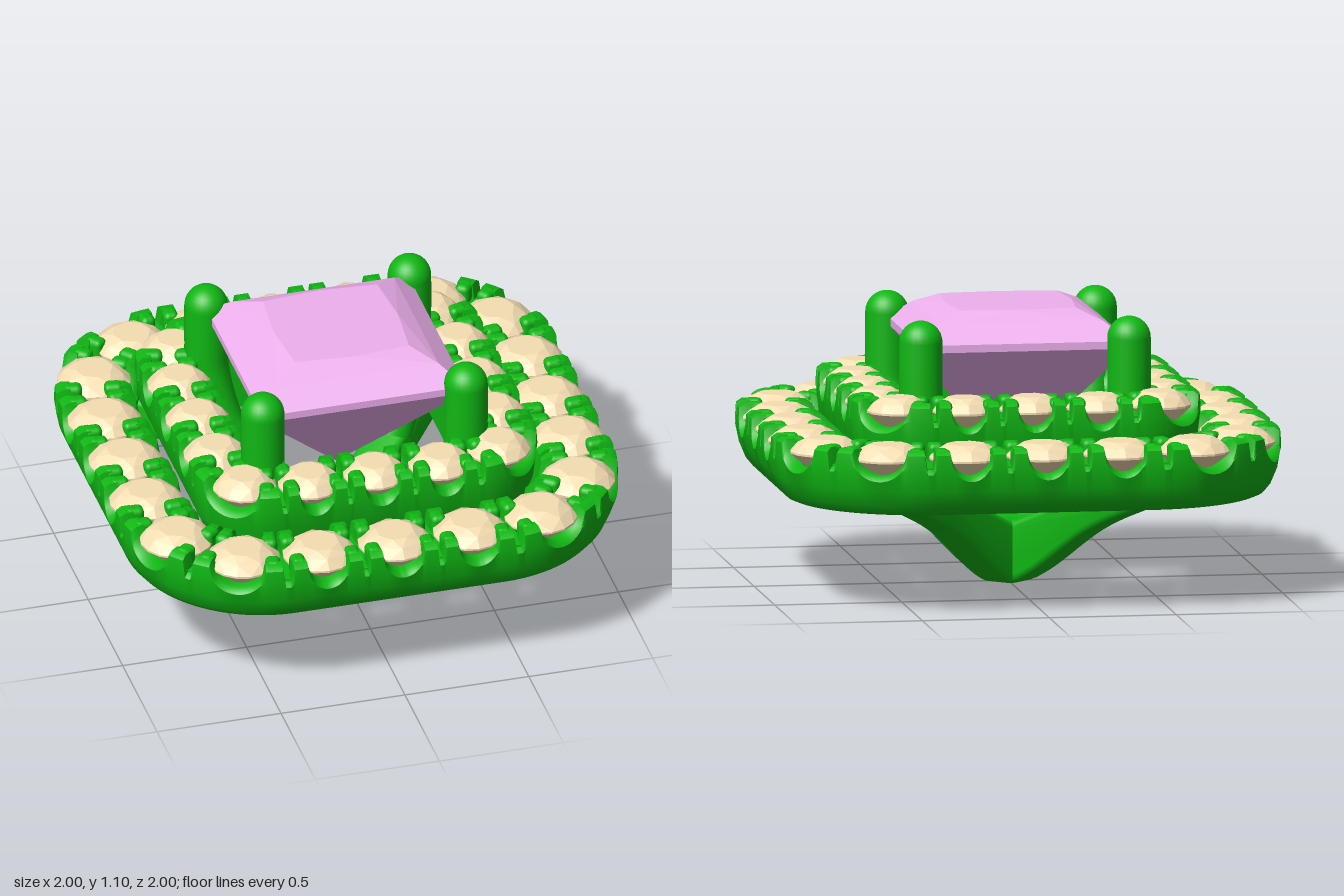
import * as THREE from 'three';
import { toCreasedNormals } from 'three/addons/utils/BufferGeometryUtils.js';
import { RoundedBoxGeometry } from 'three/addons/geometries/RoundedBoxGeometry.js';
import { ConvexGeometry } from 'three/addons/geometries/ConvexGeometry.js';

const metal = new THREE.MeshStandardMaterial({ color: 0x10b814 });
const paleStone = new THREE.MeshStandardMaterial({ color: 0xf5deb3, flatShading: true });
const pinkStone = new THREE.MeshStandardMaterial({ color: 0xeeb0ee, flatShading: true });

function add(parent, name, geometry, material) {
  const mesh = new THREE.Mesh(geometry, material);
  mesh.name = name;
  parent.add(mesh);
  return mesh;
}

// Rounded square, half size a and corner radius r, walked by arc length.
// at(s) gives the point and the angle of its outward normal.
function roundedSquare(a, r) {
  const l = a - r, arc = Math.PI * r / 2, quarter = 2 * l + arc;
  return {
    length: 4 * quarter,
    at(s) {
      const k = Math.floor(s / quarter), t = s - k * quarter;
      const th = THREE.MathUtils.clamp((t - l) / r, 0, Math.PI / 2);
      const x = t < l ? t : l + r * Math.sin(th);
      const z = t > l + arc ? l - (t - l - arc) : l + r * Math.cos(th);
      const q = k * Math.PI / 2, c = Math.cos(q), n = Math.sin(q);
      return { x: x * c + z * n, z: -x * n + z * c, angle: th + q };
    },
  };
}

// Ring body: a section swept round the path, its rims scalloped at each stone
function haloBody(path, count, o) {
  const steps = count * 36, pitch = path.length / count;
  const pos = [], index = [];
  let n = 0;
  for (let i = 0; i < steps; i++) {
    const s = i / steps * path.length;
    const d = Math.abs(((s / pitch + 0.5) % 1) - 0.5) * pitch;
    const notch = pitch * 0.27;
    let h = o.top;
    if (d < notch) h = o.top - 0.1 * Math.sqrt(1 - (d / notch) ** 2);
    if (pitch / 2 - d < 0.012) h = o.top - 0.07;
    const w = o.half, floor = o.top - 0.13;
    const section = [
      [-o.inner, o.bottom], [w - 0.09, o.bottom], [w - 0.065, o.bottom + 0.01],
      [w - 0.04, o.bottom + 0.04], [w - 0.015, o.bottom + 0.1],
      [w, Math.min(o.top - 0.07, h - 0.02)], [w - 0.004, h - 0.015], [w - 0.025, h],
      [w - 0.06, h], [w - 0.07, floor], [0.07 - w, floor], [0.06 - w, h],
      [0.025 - w, h], [-w, h - 0.02], [-o.inner, floor],
    ];
    n = section.length;
    const p = path.at(s);
    for (const [u, y] of section) pos.push(p.x + u * Math.sin(p.angle), y, p.z + u * Math.cos(p.angle));
    for (let j = 0; j < n; j++) {
      const i2 = (i + 1) % steps, j2 = (j + 1) % n;
      const a = i * n + j, b = i2 * n + j, c = i2 * n + j2, e = i * n + j2;
      index.push(a, b, e, b, c, e);
    }
  }
  const g = new THREE.BufferGeometry();
  g.setAttribute('position', new THREE.Float32BufferAttribute(pos, 3));
  g.setIndex(index);
  return toCreasedNormals(g, 0.7);
}

// Round brilliant: table, girdle and culet
function brilliant(R) {
  const pts = [new THREE.Vector3(0, -0.13, 0)];
  const circle = (n, r, y, turn) => {
    for (let i = 0; i < n; i++) {
      const t = (i + turn) / n * Math.PI * 2;
      pts.push(new THREE.Vector3(r * Math.sin(t), y, r * Math.cos(t)));
    }
  };
  circle(8, R * 0.52, 0.052, 0.5);
  circle(8, R * 0.8, 0.032, 0);
  circle(16, R, 0, 0);
  circle(16, R, -0.008, 0);
  return new ConvexGeometry(pts);
}

function halo(name, count, o) {
  const group = new THREE.Group();
  group.name = name;
  const path = roundedSquare(o.a, o.r), pitch = path.length / count;
  add(group, 'haloBody', haloBody(path, count, o), metal);
  const stone = brilliant(o.stone);
  const bead = new RoundedBoxGeometry(0.06, 0.14, 0.075, 2, 0.022);
  for (let i = 0; i < count; i++) {
    const p = path.at(i * pitch);
    const gem = add(group, 'haloStone', stone, paleStone);
    gem.position.set(p.x, o.top - 0.042, p.z);
    gem.rotation.y = p.angle;
    // Claws in the gaps on both sides of the stone
    for (const side of [-1, 1]) {
      const s = (i * pitch + side * (pitch / 2 - 0.042) + path.length) % path.length;
      const q = path.at(s);
      for (const u of [o.half - 0.07, 0.07 - o.half]) {
        const claw = add(group, 'haloClaw', bead, metal);
        claw.position.set(q.x + u * Math.sin(q.angle), o.top - 0.065, q.z + u * Math.cos(q.angle));
        claw.rotation.y = q.angle;
      }
    }
    // Low bridge between neighbouring stones
    const m = path.at((i + 0.5) * pitch);
    const bridge = add(group, 'haloBridge', new THREE.BoxGeometry(0.05, 0.09, o.half * 1.7), metal);
    bridge.position.set(m.x, o.top - 0.11, m.z);
    bridge.rotation.y = m.angle;
  }
  return group;
}

// Square-cut centre stone
function squareStone() {
  const pts = [new THREE.Vector3(0, 0.47, 0)];
  const square = (h, y, mid) => {
    for (let k = 0; k < 4; k++) {
      const c = Math.round(Math.cos(k * Math.PI / 2)), s = Math.round(Math.sin(k * Math.PI / 2));
      pts.push(new THREE.Vector3(h * (c + s), y, h * (c - s)));
      if (mid) pts.push(new THREE.Vector3(mid * s, y, mid * c));
    }
  };
  square(0.23, 1.1, 0.25);
  square(0.325, 1.058);
  square(0.41, 0.99);
  square(0.41, 0.96);
  square(0.26, 0.79);
  return new ConvexGeometry(pts);
}

// Curved bar running from corner to corner under the halos
function crossBar() {
  const under = [[0.1, 0.015], [0.2, 0.075], [0.41, 0.225], [0.6, 0.315], [0.78, 0.375], [1.0, 0.405]];
  const over = [[1.0, 0.5], [0.66, 0.54], [0.55, 0.465], [0.43, 0.4], [0.08, 0.25]];
  const v = ([x, y]) => new THREE.Vector2(x, y);
  const flip = ([x, y]) => [-x, y];
  const shape = new THREE.Shape();
  shape.moveTo(-0.06, 0);
  shape.lineTo(0.06, 0);
  shape.splineThru(under.map(v));
  over.forEach((p) => shape.lineTo(...p));
  [...over].reverse().forEach((p) => shape.lineTo(...flip(p)));
  shape.lineTo(...flip(under[5]));
  shape.splineThru([...under].reverse().slice(1).map(flip).map(v));
  const bevel = 0.025, width = 0.16;
  const g = new THREE.ExtrudeGeometry(shape, {
    depth: width - 2 * bevel, curveSegments: 5, bevelEnabled: true,
    bevelSize: bevel, bevelThickness: bevel, bevelOffset: -bevel, bevelSegments: 3,
  });
  g.translate(0, 0, bevel - width / 2);
  return toCreasedNormals(g, 0.6);
}

export function createModel() {
  const model = new THREE.Group();
  model.name = 'jewelSetting';

  model.add(halo('outerHalo', 20, { a: 0.85, r: 0.43, half: 0.15, inner: 0.17, bottom: 0.4, top: 0.66, stone: 0.145 }));
  model.add(halo('innerHalo', 16, { a: 0.56, r: 0.16, half: 0.13, inner: 0.13, bottom: 0.5, top: 0.8, stone: 0.125 }));
  add(model, 'centreStone', squareStone(), pinkStone);

  // Diagonal bars
  const bar = crossBar();
  for (const side of [-1, 1]) add(model, 'crossBar', bar, metal).rotation.y = side * Math.PI / 4;

  // Corner prongs with domed tips
  const curve = new THREE.CatmullRomCurve3(
    [[0.43, 0.36], [0.52, 0.52], [0.575, 0.72], [0.58, 0.85], [0.58, 1.005]].map(([d, y]) => new THREE.Vector3(d, y, 0)));
  const stem = new THREE.TubeGeometry(curve, 24, 0.085, 24);
  const dome = new THREE.SphereGeometry(0.085, 24, 16);
  for (let k = 0; k < 4; k++) {
    const prong = new THREE.Group();
    prong.name = 'prong';
    prong.rotation.y = Math.PI / 4 + k * Math.PI / 2;
    add(prong, 'prongStem', stem, metal);
    add(prong, 'prongTip', dome, metal).position.set(0.58, 1.005, 0);
    model.add(prong);
  }
  return model;
}
